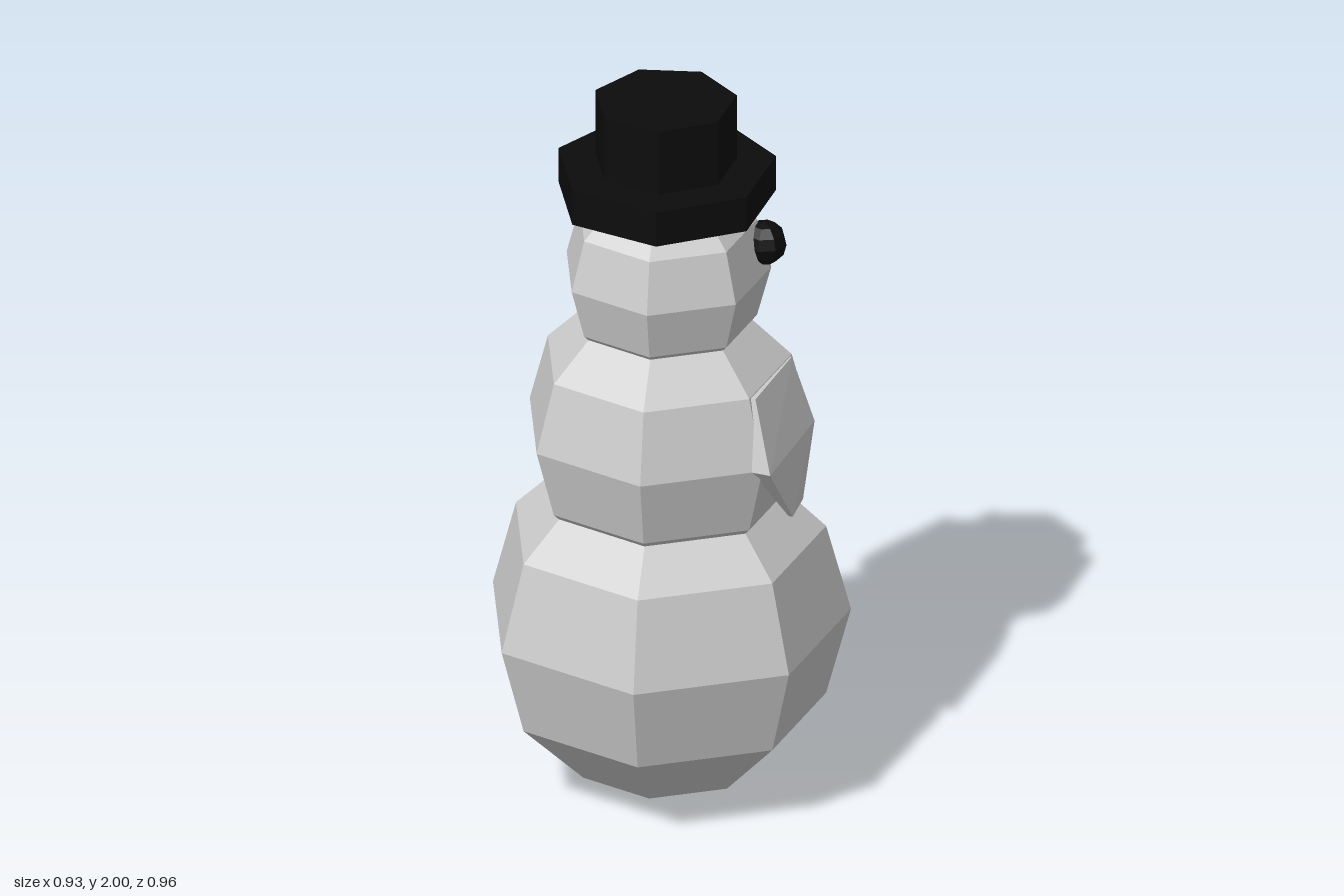
import * as THREE from 'three';

const material = (color) => new THREE.MeshStandardMaterial({ color, flatShading: true });

export function createModel() {
  const model = new THREE.Group();
  const snow = material(0xcccccc);
  const black = material(0x0c0c0c);
  const orange = material(0xe06a10);
  const axisX = 0.025;

  const add = (name, geometry, mat, x, y, z) => {
    const mesh = new THREE.Mesh(geometry, mat);
    mesh.name = name;
    mesh.position.set(x, y, z);
    model.add(mesh);
    return mesh;
  };

  // Three stacked seven-sided snowballs
  for (const [name, radius, y] of [
    ['lowerBody', 0.49, 0.49],
    ['upperBody', 0.385, 1.05],
    ['head', 0.28, 1.5],
  ]) add(name, new THREE.SphereGeometry(radius, 7, 6), snow, axisX, y, 0);

  // Hat: brim and crown share the same slight turn
  const turn = THREE.MathUtils.degToRad(-85);
  const disc = (r, h) => new THREE.CylinderGeometry(r, r, h, 7, 1, false, turn);
  add('hatBrim', disc(0.294, 0.1), black, 0.023, 1.765, 0.005);
  add('hatCrown', disc(0.191, 0.2), black, 0.023, 1.9, 0.003);

  // Eyes and nose on the +x side
  add('rightEye', new THREE.SphereGeometry(0.06, 8, 6), black, 0.264, 1.576, -0.09);
  add('leftEye', new THREE.SphereGeometry(0.06, 8, 6), black, 0.258, 1.576, 0.12);
  const nose = add('nose', new THREE.ConeGeometry(0.03, 0.07, 5), orange, 0.28, 1.492, 0.013);
  nose.rotation.z = -Math.PI / 2;

  // Arms: flat flaps lying over the upper body, narrowing to a free lower edge
  const armMaterial = material(0xcccccc);
  armMaterial.side = THREE.DoubleSide;
  const addArm = (name, rows) => {
    const points = [];
    for (const { y, back, front, depth } of rows) {
      const inward = ([x, z]) => [x - 0.62 * depth, z - Math.sign(z) * 0.78 * depth];
      for (const [x, z] of [inward(back), back, front, inward(front)]) points.push(x, y, z);
    }
    const index = [0, 1, 2, 0, 2, 3];
    for (let row = 0; row < rows.length - 1; row++) {
      for (let i = 0; i < 4; i++) {
        const a = row * 4 + i, b = row * 4 + (i + 1) % 4;
        index.push(a, a + 4, b, b, a + 4, b + 4);
      }
    }
    const end = (rows.length - 1) * 4;
    index.push(end, end + 2, end + 1, end, end + 3, end + 2);
    const geometry = new THREE.BufferGeometry();
    geometry.setAttribute('position', new THREE.Float32BufferAttribute(points, 3));
    geometry.setIndex(index);
    geometry.computeVertexNormals();
    add(name, geometry, armMaterial, 0, 0, 0);
  };
  addArm('rightArm', [
    { y: 1.24, back: [0.09, -0.342], front: [0.32, -0.15], depth: 0.06 },
    { y: 1.05, back: [0.09, -0.43], front: [0.375, -0.175], depth: 0.05 },
    { y: 0.86, back: [0.235, -0.355], front: [0.315, -0.235], depth: 0.012 },
  ]);
  addArm('leftArm', [
    { y: 1.24, back: [0.115, 0.33], front: [0.32, 0.155], depth: 0.06 },
    { y: 1.05, back: [0.115, 0.41], front: [0.375, 0.18], depth: 0.05 },
    { y: 0.86, back: [0.235, 0.315], front: [0.31, 0.235], depth: 0.012 },
  ]);

  return model;
}
